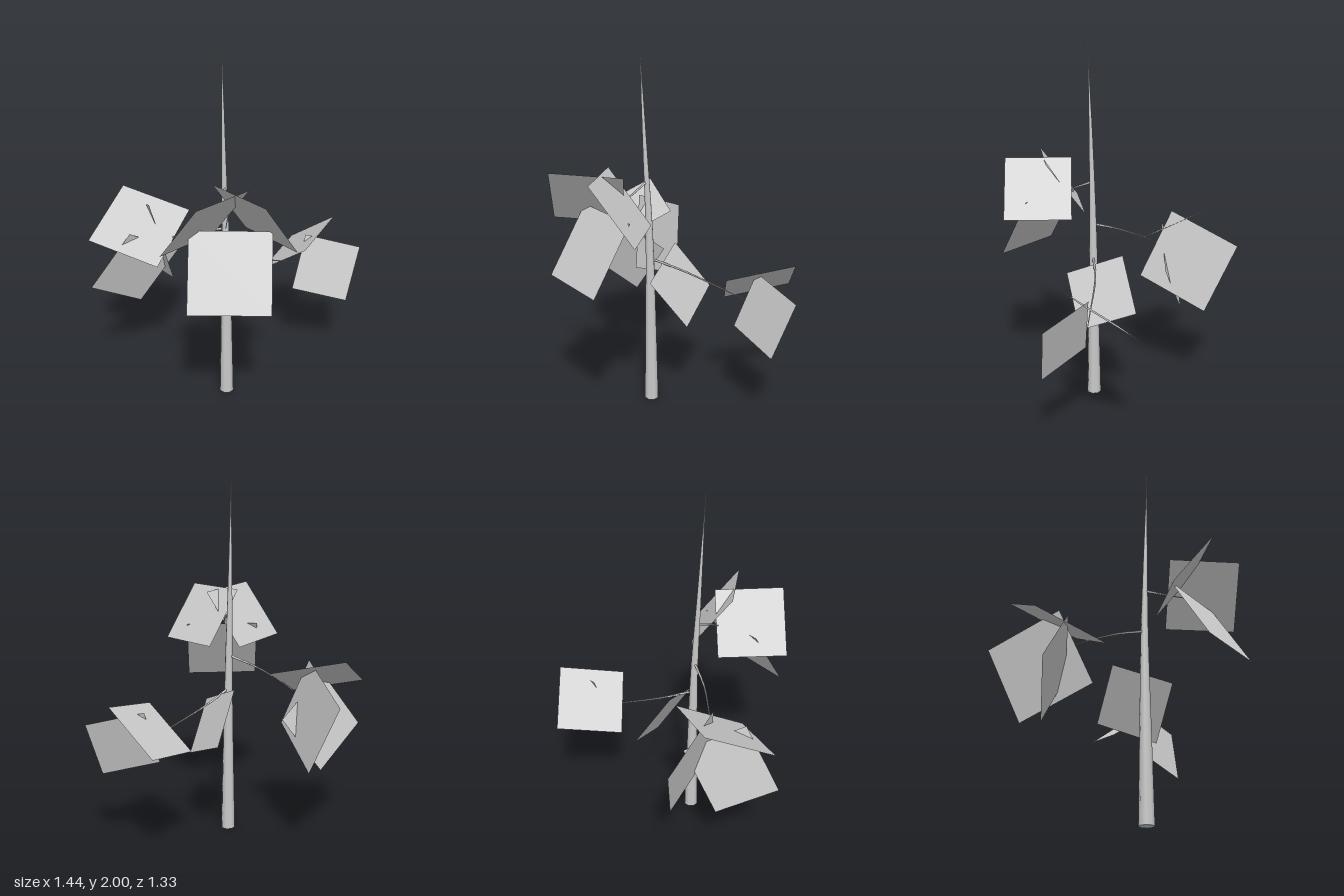
import * as THREE from 'three';

const V = (p) => new THREE.Vector3(...p);
const material = new THREE.MeshStandardMaterial({ color: 0xcccccc, side: THREE.DoubleSide });

// Round limb along a curve, tapering from r0 to r1
function limb(name, points, r0, r1, segments, sides) {
  const curve = new THREE.CatmullRomCurve3(points.map(V));
  const geo = new THREE.TubeGeometry(curve, segments, r0, sides);
  const pos = geo.attributes.position;
  const v = new THREE.Vector3();
  for (let i = 0; i < pos.count; i++) {
    const t = Math.floor(i / (sides + 1)) / segments;
    const centre = curve.getPointAt(t);
    v.fromBufferAttribute(pos, i).sub(centre);
    v.multiplyScalar(THREE.MathUtils.lerp(1, r1 / r0, t)).add(centre);
    pos.setXYZ(i, v.x, v.y, v.z);
  }
  const mesh = new THREE.Mesh(geo, material);
  mesh.name = name;
  return mesh;
}

// Flat square leaf given three corners in order; the fourth follows
function leaf(corners) {
  const [a, b, c] = corners.map(V);
  const u = c.clone().sub(b);
  const w = a.clone().sub(b);
  const n = u.clone().cross(w).normalize();
  const basis = new THREE.Matrix4().makeBasis(u, w, n);
  basis.setPosition(a.add(c).multiplyScalar(0.5));
  const mesh = new THREE.Mesh(new THREE.PlaneGeometry(1, 1).applyMatrix4(basis), material);
  mesh.name = 'leaf';
  return mesh;
}

// Each bough: a twig path and three crossing leaves
const boughs = [
  {
    name: 'leftBough',
    path: [[-0.106, 0.83, 0.12], [0.06, 0.77, 0.075], [0.298, 0.685, 0.054], [0.42, 0.64, 0.045]],
    leaves: [
      [[0.663, 0.864, 0.019], [0.348, 0.8, 0.192], [0.244, 0.583, -0.081]],
      [[0.719, 0.731, 0.2], [0.613, 0.429, 0.238], [0.354, 0.498, 0.069]],
      [[-0.036, 0.872, -0.057], [-0.046, 0.747, 0.258], [0.121, 0.482, 0.155]],
    ],
  },
  {
    name: 'rearBough',
    path: [[-0.11, 1.02, 0.12], [-0.21, 0.966, 0], [-0.283, 0.905, -0.127], [-0.33, 0.86, -0.2]],
    leaves: [
      [[-0.398, 1.076, -0.535], [-0.137, 0.986, -0.235], [-0.437, 0.806, -0.027]],
      [[-0.356, 1.044, -0.285], [-0.263, 0.885, -0.666], [-0.21, 0.503, -0.497]],
      [[-0.719, 0.636, -0.278], [-0.407, 0.434, -0.344], [-0.196, 0.737, -0.274]],
    ],
  },
  {
    name: 'frontBough',
    path: [[-0.118, 1.255, 0.127], [-0.16, 1.2, 0.246], [-0.23, 1.14, 0.34]],
    leaves: [
      [[-0.475, 1.357, 0.508], [-0.571, 1.06, 0.308], [-0.221, 1.038, 0.185]],
      [[-0.264, 1.353, 0.272], [-0.187, 1.353, 0.633], [0.027, 1.054, 0.587]],
      [[-0.048, 1.14, 0.48], [-0.159, 0.795, 0.662], [-0.513, 0.8, 0.462]],
    ],
  },
];

export function createModel() {
  const group = new THREE.Group();
  group.name = 'tree';

  // Slender, slightly bent trunk with a closed base
  group.add(limb('trunk', [
    [-0.106, 0, 0.12], [-0.106, 0.5, 0.12], [-0.11, 1, 0.121],
    [-0.123, 1.4, 0.13], [-0.14, 2, 0.148],
  ], 0.04, 0.0005, 16, 8));
  const base = new THREE.Mesh(new THREE.CircleGeometry(0.04, 8), material);
  base.name = 'trunkBase';
  base.rotation.x = Math.PI / 2;
  base.position.set(-0.106, 0, 0.12);
  group.add(base);

  for (const { name, path, leaves } of boughs) {
    const bough = new THREE.Group();
    bough.name = name;
    bough.add(limb('twig', path, 0.007, 0.002, 8, 5), ...leaves.map(leaf));
    group.add(bough);
  }
  return group;
}
